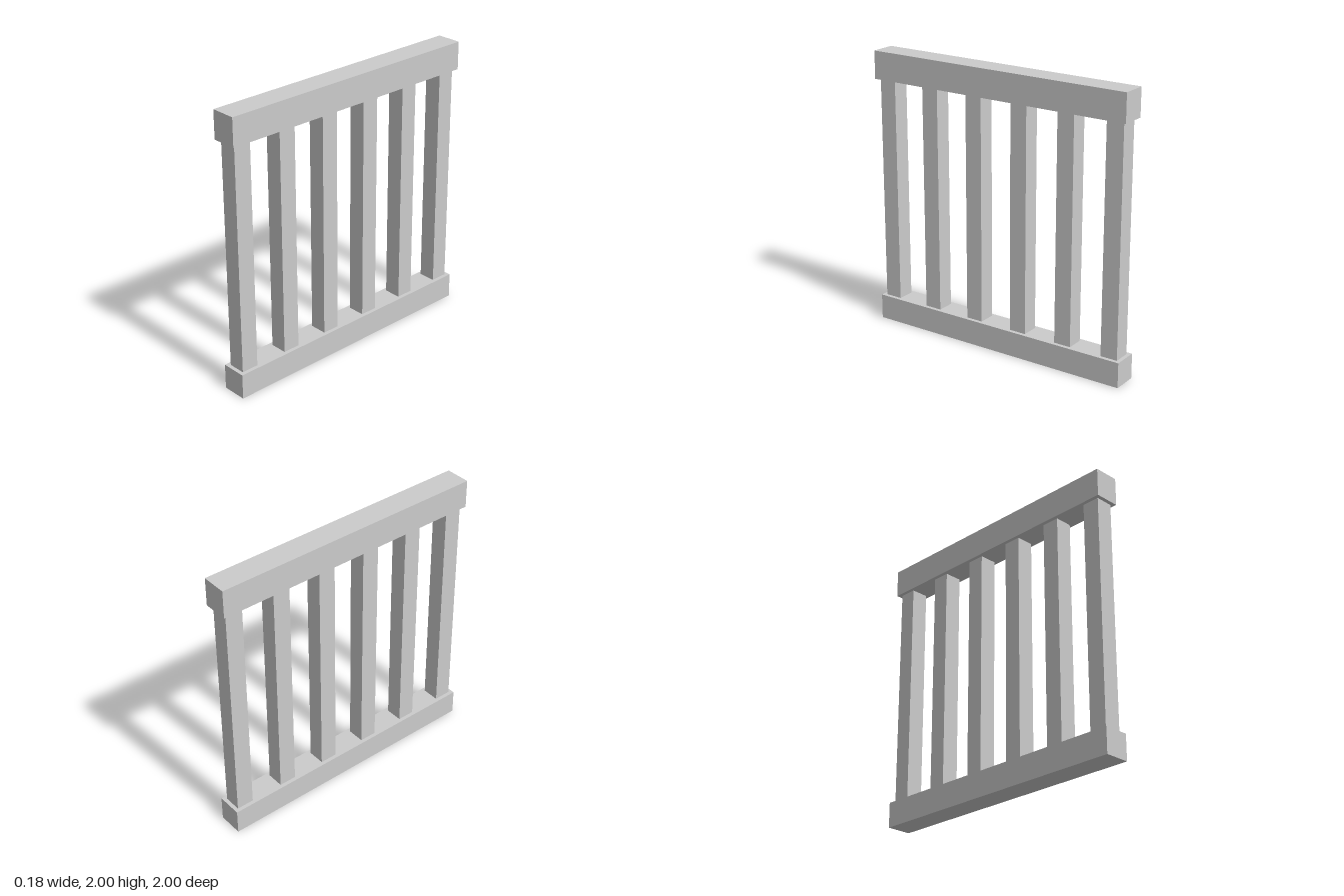
import * as THREE from 'three';

export function createModel() {
  const group = new THREE.Group();
  const material = new THREE.MeshStandardMaterial({ color: 0xcccccc, flatShading: true });

  // Box spanning bottom..top in height, centred on x = 0
  function addBeam(name, width, bottom, top, depth, z = 0) {
    const mesh = new THREE.Mesh(new THREE.BoxGeometry(width, top - bottom, depth), material);
    mesh.name = name;
    mesh.position.set(0, (bottom + top) / 2, z);
    group.add(mesh);
  }

  const railWidth = 0.18, bottomRailTop = 0.18, topRailBottom = 1.8;

  // Rails
  addBeam('bottomRail', railWidth, 0, bottomRailTop, 2);
  addBeam('topRail', railWidth, topRailBottom, 2, 2);

  // Evenly spaced square balusters between the rails
  const count = 6, spacing = 0.364, size = 0.125;
  for (let i = 0; i < count; i++) {
    const z = (i - (count - 1) / 2) * spacing;
    addBeam(`baluster${i + 1}`, size, bottomRailTop, topRailBottom, size, z);
  }

  return group;
}
